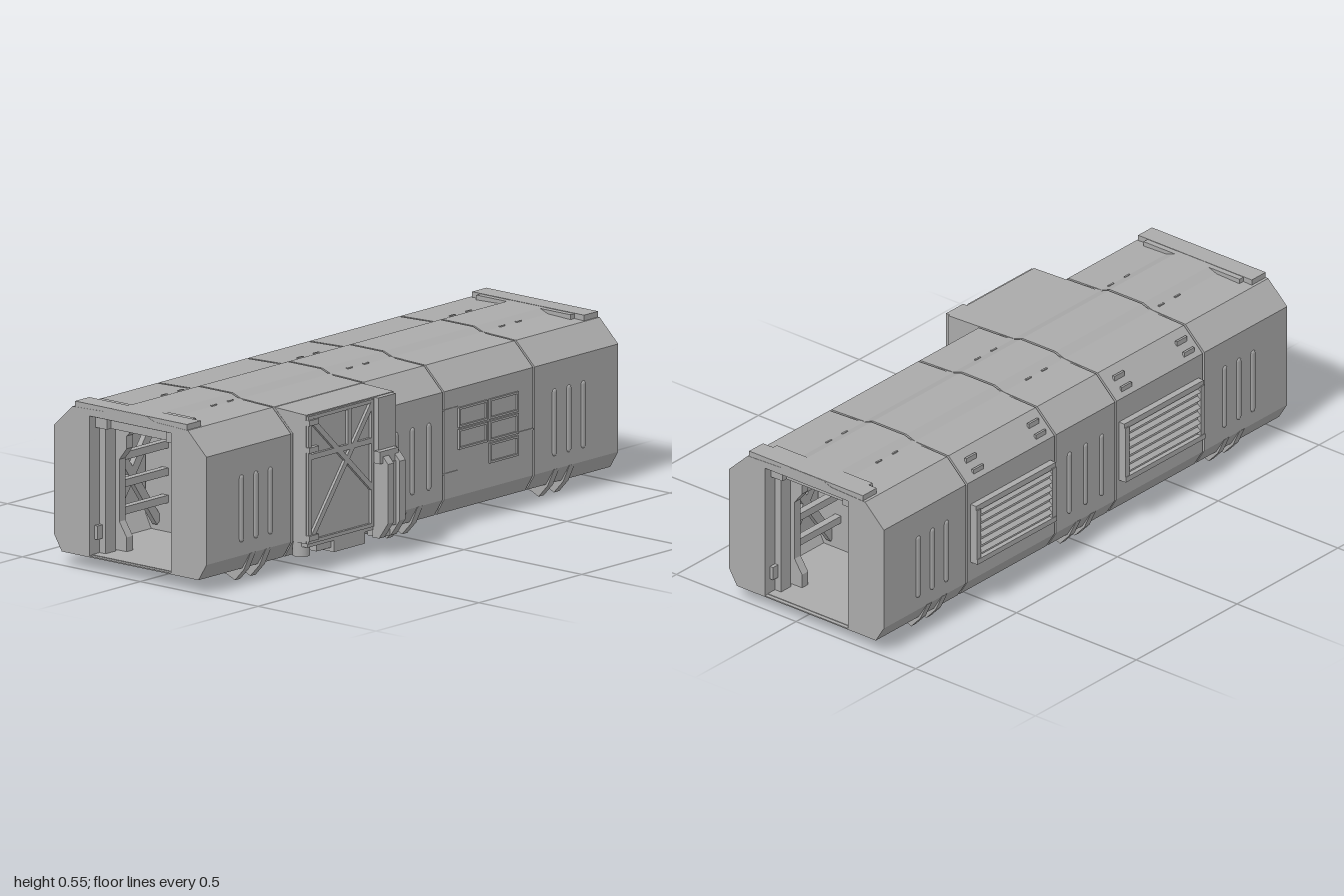
import * as THREE from 'three';

const CX = -0.043; // centre line of the hull

export function createModel() {
  const root = new THREE.Group();
  root.name = 'cargoModule';
  const grey = new THREE.MeshStandardMaterial({ color: 0xaaaaaa });
  grey.name = 'hull grey';

  const add = (name, geo) => {
    const m = new THREE.Mesh(geo, grey);
    m.name = name;
    root.add(m);
    return m;
  };
  // box from its limits
  const box = (name, x0, x1, y0, y1, z0, z1) => {
    const m = add(name, new THREE.BoxGeometry(Math.abs(x1 - x0), y1 - y0, Math.abs(z1 - z0)));
    m.position.set((x0 + x1) / 2, (y0 + y1) / 2, (z0 + z1) / 2);
    return m;
  };
  const vecs = (pts) => pts.map(([x, y]) => new THREE.Vector2(x, y));
  // x,y outline pushed from z0 to z1, with an optional hole
  const prism = (name, pts, z0, z1, hole) => {
    const s = new THREE.Shape(vecs(pts));
    if (hole) s.holes.push(new THREE.Path(vecs(hole)));
    const g = new THREE.ExtrudeGeometry(s, { depth: z1 - z0, bevelEnabled: false });
    g.translate(0, 0, z0);
    return add(name, g);
  };
  // half outline given from the centre line, mirrored to a closed one
  const mirror = (half) => [
    ...half.map(([x, y]) => [CX + x, y]),
    ...half.slice().reverse().map(([x, y]) => [CX - x, y]),
  ];

  const outer = mirror([[0.29, 0.045], [0.324, 0.1], [0.324, 0.455], [0.245, 0.53], [0.105, 0.535], [0.07, 0.548]]);
  const inner = mirror([[0.26, 0.051], [0.29, 0.11], [0.29, 0.44], [0.22, 0.505]]);
  const liner = mirror([[0.283, 0.049], [0.315, 0.103], [0.315, 0.45], [0.24, 0.521], [0.07, 0.538]]);
  const door = mirror([[0.173, 0.049], [0.173, 0.51]]);
  const arch = mirror([[0.115, 0.05], [0.115, 0.098], [0.146, 0.145], [0.146, 0.35], [0.115, 0.39], [0.115, 0.432], [0.08, 0.467]]);

  // hull segments around a continuous liner, leaving narrow seams
  const cuts = [-0.99, -0.59, -0.15, 0.15, 0.585, 0.99];
  for (let i = 0; i < 5; i++) prism('hullSegment', outer, cuts[i] + 0.004, cuts[i + 1] - 0.004, inner);
  prism('hullLiner', liner, -0.97, 0.97, inner);

  // inner arch frames
  const frame = mirror([[0.285, 0.05], [0.285, 0.44], [0.215, 0.509]]);
  for (const z of [-0.87, -0.59, -0.15, 0.15, 0.585, 0.87]) prism('archFrame', frame, z - 0.015, z + 0.015, arch);

  for (const e of [-1, 1]) {
    // end caps with the doorway and roof lip
    prism('endCap', outer, e > 0 ? 0.93 : -1, e > 0 ? 1 : -0.93, door);
    box('roofLip', CX - 0.235, CX + 0.24, 0.51, 0.549, e * 0.93, e * 0.999);
    box('roofLipCentre', CX - 0.2, CX + 0.2, 0.52, 0.5475, e * 0.91, e * 0.95);
    box('doorHeader', CX - 0.173, CX + 0.173, 0.467, 0.505, e * 0.92, e * 0.95);
    for (const s of [-1, 1]) {
      box('doorJamb', CX + s * 0.148, CX + s * 0.176, 0.05, 0.467, e * 0.9, e * 0.95);
      box('doorCornerBracket', CX + s * 0.125, CX + s * 0.173, 0.467, 0.505, e * 0.95, e * 0.97);
      box('doorLatch', CX + s * 0.16, CX + s * 0.176, 0.1, 0.145, e * 0.95, e * 0.975);
      box('capSlot', CX + s * 0.24, CX + s * 0.245, 0.12, 0.15, e * 0.99, e * 1.0);
    }
  }

  // rails and cross braces along the inside walls
  const beam = (name, x, [z0, y0], [z1, y1], t, w) => {
    const m = add(name, new THREE.BoxGeometry(t, w, Math.hypot(z1 - z0, y1 - y0)));
    m.position.set(x, (y0 + y1) / 2, (z0 + z1) / 2);
    m.rotation.x = -Math.atan2(y1 - y0, z1 - z0);
    return m;
  };
  for (const s of [-1, 1]) {
    for (const y of [0.16, 0.25, 0.34]) beam('innerRail', CX + s * 0.2, [-0.88, y], [0.88, y], 0.025, 0.025);
    for (const [a, b] of [[-0.86, -0.6], [-0.58, -0.16], [-0.14, 0.14], [0.16, 0.57], [0.6, 0.86]]) {
      beam('innerBrace', CX + s * 0.235, [a, 0.08], [b, 0.44], 0.02, 0.03);
      beam('innerBrace', CX + s * 0.235, [a, 0.44], [b, 0.08], 0.02, 0.03);
    }
  }

  // claw-shaped feet, in pairs
  const claw = [[0.168, 0.047], [0.188, 0.02], [0.228, 0.014], [0.259, 0], [0.298, 0.042], [0.325, 0.1], [0.31, 0.1], [0.27, 0.05]];
  for (const z of [0.775, 0.7, 0.037, -0.037, -0.7, -0.775])
    for (const s of [-1, 1]) prism('footClaw', claw.map(([x, y]) => [CX + s * x, y]), z - 0.013, z + 0.013);

  // upright ribs on the sides, seen on plain segments
  const rib = new THREE.CapsuleGeometry(0.011, 0.2, 3, 8);
  rib.scale(0.5, 1, 1);
  for (const s of [-1, 1])
    for (const z of [-0.83, -0.76, -0.69, -0.08, 0.0, 0.08, 0.69, 0.76, 0.83])
      add('sideRib', rib).position.set(CX + s * 0.324, 0.255, z);

  // small clips on the roof
  for (const x of [-0.15, 0.06])
    for (const z of [-0.7, 0.04, 0.7])
      for (const d of [0, 0.08]) box('roofClip', x - 0.003, x + 0.003, 0.53, 0.539, z - d, z - d + 0.025);

  // louvred units on the right side
  for (const [z0, z1] of [[-0.57, -0.175], [0.165, 0.56]]) {
    box('louvreHousing', -0.36, -0.38, 0.18, 0.37, z0, z1);
    box('louvreSill', -0.36, -0.396, 0.166, 0.184, z0, z1);
    box('louvreTop', -0.36, -0.39, 0.355, 0.375, z0, z1);
    for (const z of [z0, z1 - 0.02]) box('louvreEnd', -0.36, -0.394, 0.184, 0.36, z, z + 0.02);
    for (let y = 0.188; y < 0.35; y += 0.028)
      prism('louvreSlat', [[-0.378, y], [-0.394, y + 0.012], [-0.378, y + 0.024]], z0 + 0.02, z1 - 0.02);
    for (const z of [z0 + 0.03, z0 + 0.34])
      for (const x of [-0.35, -0.32])
        box('chamferClip', x - 0.004, x + 0.004, x + 0.815, x + 0.833, z, z + 0.05);
  }

  // framed panels on the left side
  const rim = (z0, z1, y0, y1) => {
    const x0 = 0.275, x1 = 0.288, t = 0.007;
    box('panelRim', x0, x1, y0, y0 + t, z0, z1);
    box('panelRim', x0, x1, y1 - t, y1, z0, z1);
    box('panelRim', x0, x1, y0 + t, y1 - t, z0, z0 + t);
    box('panelRim', x0, x1, y0 + t, y1 - t, z1 - t, z1);
  };
  for (const [z0, y0] of [[-0.36, 0.325], [-0.51, 0.325], [-0.36, 0.253], [-0.51, 0.253], [-0.51, 0.18]])
    rim(z0, z0 + 0.14, y0, y0 + 0.066);
  for (const [z0, z1, y] of [[-0.22, -0.15, 0.39], [-0.22, -0.15, 0.18], [-0.585, -0.51, 0.25]])
    box('panelStrip', 0.275, 0.284, y, y + 0.006, z0, z1);

  // equipment bay projecting from the left side
  prism('equipmentBay', [[0.195, 0.529], [0.27, 0.45], [0.27, 0.1], [0.337, 0.1], [0.337, 0.524]], 0.155, 0.58);
  box('bayFloor', 0.24, 0.333, 0.085, 0.102, 0.16, 0.57);
  for (const z of [0.26, 0.565]) box('bayPost', 0.335, 0.346, 0.1, 0.52, z, z + 0.014);
  for (const y of [0.1, 0.508]) box('bayRail', 0.335, 0.346, y, y + 0.012, 0.26, 0.579);
  for (const [a, b] of [
    [[0.56, 0.12], [0.27, 0.505]], [[0.56, 0.505], [0.27, 0.23]],
    [[0.565, 0.385], [0.27, 0.385]], [[0.38, 0.39], [0.38, 0.51]],
  ]) beam('bayBrace', 0.341, a, b, 0.012, 0.018);

  // faceted pillar at the rear of the bay
  box('pillarBack', 0.33, 0.355, 0.06, 0.522, 0.165, 0.25);
  for (const z of [0.165, 0.222])
    prism('pillarFin', [[0.345, 0.06], [0.358, 0.06], [0.396, 0.115], [0.396, 0.31], [0.358, 0.35], [0.345, 0.35]], z, z + 0.028);
  box('pillarCore', 0.35, 0.38, 0.1, 0.31, 0.19, 0.225);
  box('pillarClamp', 0.35, 0.375, 0.31, 0.35, 0.175, 0.265);
  for (const y of [0.11, 0.4, 0.49]) box('bayHinge', 0.335, 0.352, y, y + 0.018, 0.535, 0.582);

  // fittings beneath the bay
  const can = add('bayCanister', new THREE.CylinderGeometry(0.028, 0.028, 0.05, 16));
  can.position.set(0.29, 0.076, 0.55);
  box('bayTank', 0.25, 0.333, 0.047, 0.09, 0.29, 0.44);
  box('bayDuct', 0.25, 0.32, 0.06, 0.09, 0.44, 0.51);
  box('bayFoot', 0.3, 0.355, 0.06, 0.1, 0.17, 0.24);

  return root;
}
